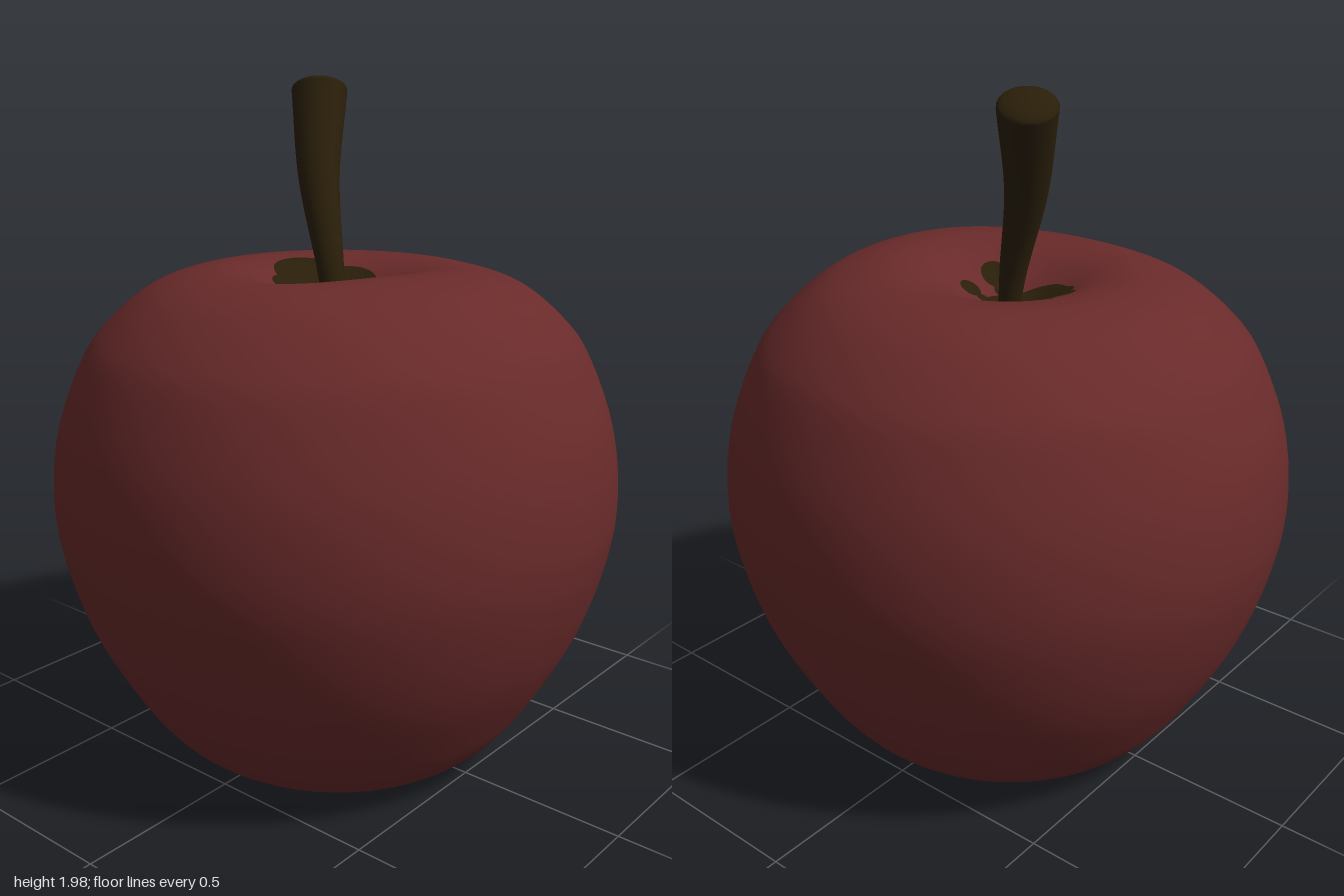
import * as THREE from 'three';

const red = new THREE.MeshStandardMaterial({ color: 0x692a2a });
red.name = 'appleRed';
const brown = new THREE.MeshStandardMaterial({ color: 0x291e09 });
brown.name = 'stemBrown';

// Skin profile as [radius, height], from the base dimple to the stem hollow
const profile = new THREE.SplineCurve([
  [0, 0.045], [0.06, 0.04], [0.14, 0.055], [0.24, 0.035], [0.32, 0.012], [0.39, 0.006],
  [0.45, 0.02], [0.51, 0.06], [0.56, 0.11], [0.625, 0.2], [0.735, 0.4], [0.803, 0.6],
  [0.831, 0.79], [0.808, 1.0], [0.732, 1.2], [0.66, 1.3], [0.55, 1.392], [0.44, 1.436],
  [0.34, 1.447], [0.25, 1.432], [0.16, 1.39], [0.08, 1.35], [0, 1.335],
].map(([r, y]) => new THREE.Vector2(r, y))).getPoints(120);

// One shoulder stands a little higher than the other
function lift(x, z, y) {
  const r = Math.hypot(x, z);
  if (r === 0) return 0;
  const t = THREE.MathUtils.smoothstep(y, 0.9, 1.4) * Math.min(1, r / 0.3);
  return 0.03 * t * Math.max(0, (x * 0.95 + z * 0.3) / r) ** 2;
}

// Height of the upper skin near the stem
function skinHeight(x, z) {
  const r = Math.hypot(x, z);
  const i = profile.findLastIndex((q) => q.x >= r);
  const b = profile[i], a = profile[i + 1];
  const y = THREE.MathUtils.lerp(a.y, b.y, (r - a.x) / (b.x - a.x));
  return y + lift(x, z, y);
}

// Lathe with slightly fuller diagonals
function makeBody() {
  const geo = new THREE.LatheGeometry(profile, 96);
  const p = geo.attributes.position;
  for (let i = 0; i < p.count; i++) {
    const x = p.getX(i), y = p.getY(i), z = p.getZ(i);
    const s = Math.sin(2 * Math.atan2(z, x));
    const full = 1 + (0.015 * s * s + 0.006 * s) * THREE.MathUtils.smoothstep(Math.hypot(x, z), 0.3, 0.8);
    p.setXYZ(i, x * full, y + lift(x, z, y), z * full * 0.988);
  }
  const mesh = new THREE.Mesh(geo, red);
  mesh.name = 'body';
  return mesh;
}

// Curved stem, widening to a rounded, tilted end
function makeStem() {
  const path = new THREE.CatmullRomCurve3([
    new THREE.Vector3(0.01, 1.28, 0.01), new THREE.Vector3(-0.02, 1.45, 0),
    new THREE.Vector3(-0.105, 1.7, -0.05), new THREE.Vector3(-0.178, 1.94, -0.138),
  ]);
  const rings = 28, sides = 24;
  const geo = new THREE.TubeGeometry(path, rings, 1, sides);
  const p = geo.attributes.position;
  const v = new THREE.Vector3();
  for (let i = 0; i <= rings; i++) {
    const t = i / rings, c = path.getPointAt(t);
    const r = 0.028 + 0.054 * Math.pow(t, 1.1);
    for (let j = 0; j <= sides; j++) {
      const k = i * (sides + 1) + j;
      v.fromBufferAttribute(p, k).sub(c).multiplyScalar(r).add(c);
      p.setXYZ(k, v.x, v.y, v.z);
    }
  }
  const stem = new THREE.Group();
  stem.name = 'stem';
  const shaft = new THREE.Mesh(geo, brown);
  shaft.name = 'stemShaft';
  const cap = new THREE.Mesh(new THREE.SphereGeometry(0.082, 24, 8, 0, Math.PI * 2, 0, Math.PI / 2), brown);
  cap.name = 'stemEnd';
  cap.scale.y = 0.35;
  cap.position.copy(path.getPointAt(1));
  cap.quaternion.setFromUnitVectors(new THREE.Vector3(0, 1, 0), path.getTangentAt(1));
  stem.add(shaft, cap);
  return stem;
}

// Brown blotches draped over the hollow: [x, z, radius]
function makeBlotches() {
  const group = new THREE.Group();
  group.name = 'hollowBlotches';
  const spots = [
    [-0.055, -0.1, 0.1], [-0.155, -0.06, 0.105], [-0.07, 0.035, 0.092], [-0.12, 0.03, 0.075],
    [-0.01, -0.02, 0.075], [0.11, 0.08, 0.045], [0.08, 0.105, 0.04], [0.055, 0.06, 0.035],
    [0.11, -0.035, 0.03], [0.07, -0.03, 0.016],
  ];
  spots.forEach(([cx, cz, r], n) => {
    const geo = new THREE.RingGeometry(0.0005, r, 32, 8);
    geo.rotateX(-Math.PI / 2);
    const p = geo.attributes.position;
    for (let i = 0; i < p.count; i++) {
      const x = p.getX(i) + cx, z = p.getZ(i) + cz;
      p.setXYZ(i, x, skinHeight(x, z) + 0.005, z);
    }
    geo.computeVertexNormals();
    const mesh = new THREE.Mesh(geo, brown);
    mesh.name = `blotch${n + 1}`;
    group.add(mesh);
  });
  return group;
}

export function createModel() {
  const apple = new THREE.Group();
  apple.name = 'apple';
  apple.add(makeBody(), makeStem(), makeBlotches());
  return apple;
}
